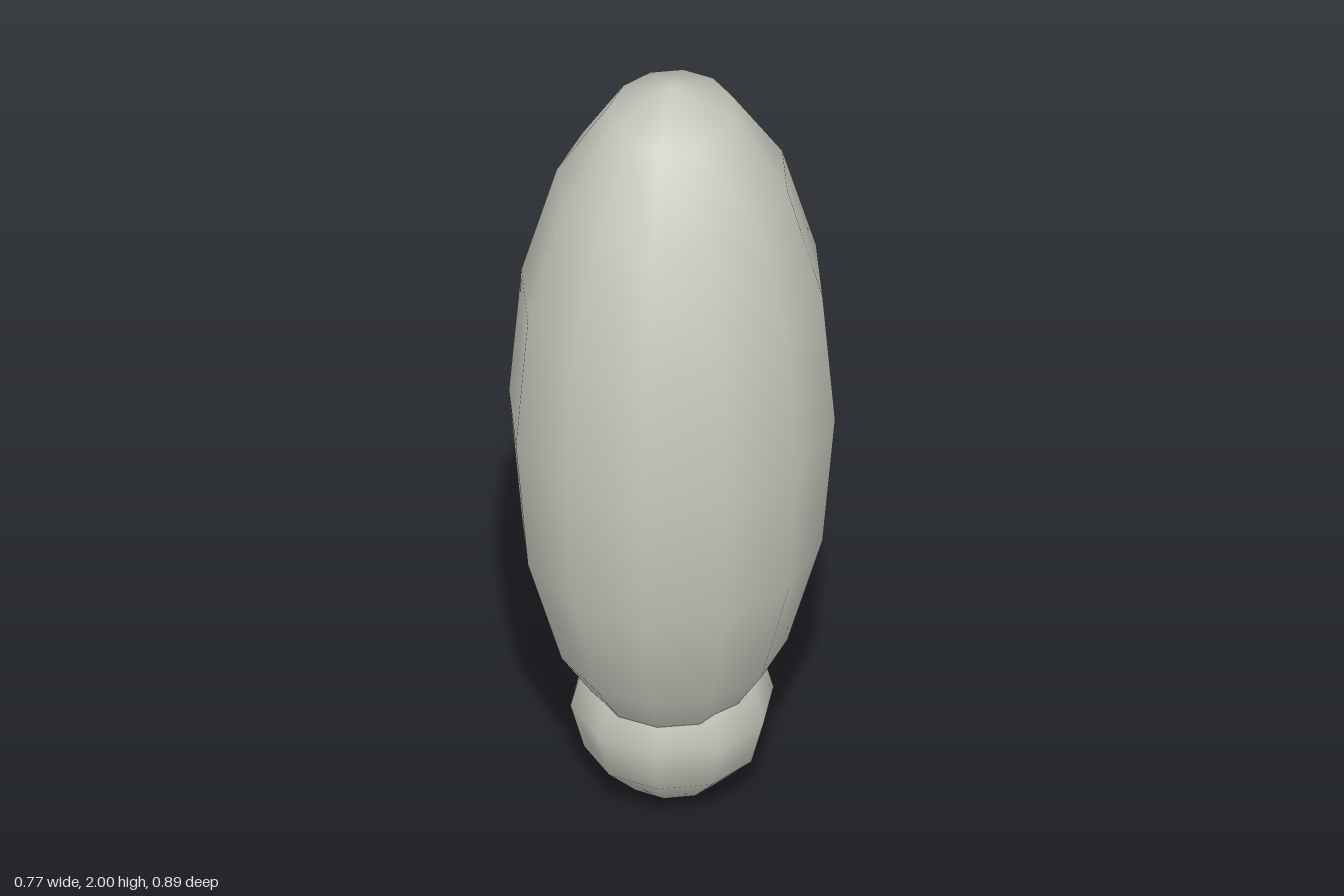
import * as THREE from 'three';

export function createModel() {
  const group = new THREE.Group();
  const stone = new THREE.MeshStandardMaterial({ color: 0xc8c8be });
  stone.name = 'pale warm grey';

  // Smooth low-poly ellipsoid with the given radii and centre height
  const ellipsoid = (name, [rx, ry, rz], y, sides, rings, turn = 0) => {
    const geometry = new THREE.SphereGeometry(1, sides, rings);
    geometry.rotateY(turn).scale(rx, ry, rz);
    const mesh = new THREE.Mesh(geometry, stone);
    mesh.name = name;
    mesh.position.y = y;
    group.add(mesh);
  };

  // Tall, slightly flattened body
  ellipsoid('body', [0.387, 0.915, 0.444], 1.085, 12, 8);

  // Small ball under the body, with a corner facing front and back
  ellipsoid('baseBall', [0.241, 0.243, 0.241], 0.246, 10, 6, Math.PI / 2);

  return group;
}
